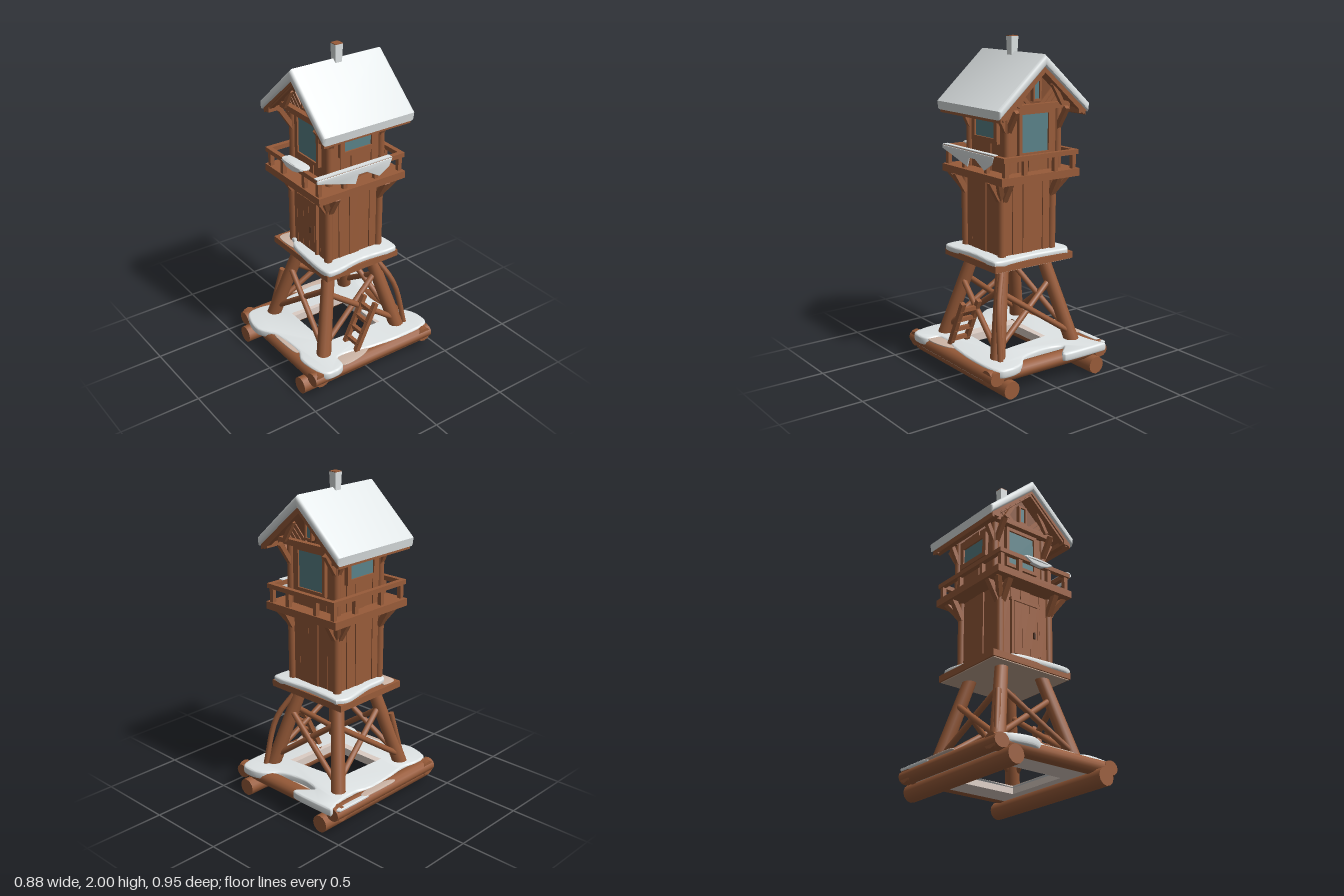
import * as THREE from 'three';
import { toCreasedNormals } from 'three/addons/utils/BufferGeometryUtils.js';

const mat = (name, color) => {
  const m = new THREE.MeshStandardMaterial({ color });
  m.name = name;
  return m;
};
const wood = mat('wood', 0x985b39);
const darkWood = mat('darkWood', 0x834e30);
const groove = mat('groove', 0x543321);
const snow = mat('snow', 0xdfe4e5);
const glass = mat('glass', 0x598188);
const weathered = mat('weatheredUnderside', 0xc4a793);
const frost = mat('thinFrost', 0xcfb7a8);
const paleFrost = mat('paleFrost', 0xdccdc4);

const V = (x, y, z) => new THREE.Vector3(x, y, z);

function add(parent, name, geo, material, x = 0, y = 0, z = 0) {
  const m = new THREE.Mesh(geo, material);
  m.name = name;
  m.position.set(x, y, z);
  parent.add(m);
  return m;
}
function box(parent, name, w, h, d, x, y, z, material = wood) {
  return add(parent, name, new THREE.BoxGeometry(w, h, d), material, x, y, z);
}
// Lays a mesh along a line from a to b
function align(m, a, b) {
  m.position.copy(a).add(b).multiplyScalar(0.5);
  m.quaternion.setFromUnitVectors(V(0, 1, 0), b.clone().sub(a).normalize());
  return m;
}
// Round log between two points
function log(parent, name, a, b, r0, r1 = r0) {
  const geo = new THREE.CylinderGeometry(r1, r0, a.distanceTo(b), 12);
  return align(add(parent, name, geo, wood), a, b);
}
// Square beam between two points
function beam(parent, name, a, b, t) {
  return align(box(parent, name, t, a.distanceTo(b), t, 0, 0, 0), a, b);
}
function group(parent, name, x = 0, y = 0, z = 0) {
  const g = new THREE.Group();
  g.name = name;
  g.position.set(x, y, z);
  parent.add(g);
  return g;
}
// Runs a builder for front, right, back and left
function fourSides(parent, name, build) {
  for (let k = 0; k < 4; k++) {
    const g = group(parent, name);
    g.rotation.y = k * Math.PI / 2;
    build(g, k);
  }
}
function extrude(shape, depth, bevel) {
  return toCreasedNormals(new THREE.ExtrudeGeometry(shape, {
    depth, bevelEnabled: bevel > 0, bevelSize: bevel, bevelThickness: bevel, bevelSegments: 3, curveSegments: 5,
  }), 0.7);
}
// Soft flat snow patch from an outline of [x, z] points
function snowPatch(parent, name, pts, y, h, hole, bevel = 0.012, material = snow) {
  const p = pts.map(([x, z]) => new THREE.Vector2(x, -z));
  const s = new THREE.Shape();
  s.moveTo(p[0].x, p[0].y);
  s.splineThru([...p.slice(1), p[0]]);
  if (hole) {
    s.holes.push(new THREE.Path([[-hole, -hole], [-hole * 0.9, hole * 0.8], [hole, hole], [hole * 0.9, -hole]]
      .map(([x, z]) => new THREE.Vector2(x, z))));
  }
  const geo = extrude(s, h, bevel);
  geo.rotateX(-Math.PI / 2);
  return add(parent, name, geo, material, 0, y, 0);
}
// Two roof slopes as one folded slab along z
function chevron(half, top, slope, t, halfDepth, bevel) {
  const e = top - slope * half;
  const s = new THREE.Shape([[-half, e], [-half, e - t], [0, top - t], [half, e - t], [half, e], [0, top]]
    .map(([x, y]) => new THREE.Vector2(x, y)));
  const geo = extrude(s, 2 * (halfDepth - bevel), bevel);
  geo.translate(0, 0, -(halfDepth - bevel));
  return geo;
}
// Vertical planks with uneven faces over a dark core
function plankWall(g, name, n, half, y0, y1) {
  const w = 2 * half / n;
  for (let i = 0; i < n; i++) {
    const bump = 0.003 * ((i * 7) % 3);
    const p = box(g, name, w - 0.003, y1 - y0, 0.02, -half + w * (i + 0.5), (y0 + y1) / 2, half - 0.006 + bump);
    p.rotation.z = 0.005 * (((i * 5) % 3) - 1);
  }
}
function frame(g, name, w, h, y, z, t) {
  for (const s of [-1, 1]) {
    box(g, name, t, h + 2 * t, 0.03, s * (w + t) / 2, y, z);
    box(g, name, w, t, 0.03, 0, y + s * (h + t) / 2, z);
  }
}

export function createModel() {
  const tower = new THREE.Group();
  tower.name = 'watchtower';

  // Sled base: skids, log frame, snow ring
  const base = group(tower, 'base');
  for (const x of [-0.325, 0.305]) log(base, 'skid', V(x, 0.054, -0.475), V(x, 0.054, 0.475), 0.053);
  for (const s of [-1, 1]) {
    const side = log(base, 'sideLog', V(s * 0.385 - 0.005, 0.125, -0.44), V(s * 0.385 - 0.005, 0.125, 0.44), 0.042);
    const cross = log(base, 'crossLog', V(-0.43, 0.125, s * 0.39), V(0.42, 0.125, s * 0.39), 0.045);
    side.scale.x = 1.15;
    cross.scale.z = 1.1;
  }
  const square = (h) => [[-h, -h], [h, -h], [h, h], [-h, h]].map(([x, z]) => new THREE.Vector2(x, z));
  const ring = new THREE.Shape(square(0.405));
  ring.holes.push(new THREE.Path(square(0.21)));
  const deckGeo = extrude(ring, 0.05, 0);
  deckGeo.rotateX(-Math.PI / 2);
  add(base, 'snowUnderside', deckGeo, paleFrost, 0, 0.088, 0);
  snowPatch(base, 'baseSnow', [
    [-0.39, -0.455], [-0.13, -0.455], [-0.11, -0.43], [-0.18, -0.35], [-0.05, -0.31], [0.12, -0.34], [0.21, -0.42],
    [0.3, -0.445], [0.37, -0.41], [0.38, -0.2], [0.36, 0], [0.33, 0.12], [0.33, 0.23], [0.41, 0.25], [0.43, 0.32],
    [0.4, 0.38], [0.24, 0.405], [0.14, 0.37], [-0.07, 0.39], [-0.2, 0.455], [-0.35, 0.42], [-0.37, 0.33],
    [-0.35, 0.22], [-0.37, 0.08], [-0.38, -0.1], [-0.35, -0.22], [-0.36, -0.36]], 0.137, 0.028, 0.2);
  snowPatch(base, 'rightFrost', [[0.32, 0.04], [0.37, 0.02], [0.41, 0.12], [0.41, 0.24], [0.32, 0.25]], 0.164, 0.004, 0, 0.002, frost);
  snowPatch(base, 'leftFrost', [[-0.435, -0.2], [-0.4, -0.2], [-0.385, -0.1], [-0.4, 0.03], [-0.435, 0.05]], 0.162, 0.004, 0, 0.002, frost);
  snowPatch(base, 'leftSnowStrip', [[-0.435, -0.42], [-0.415, -0.42], [-0.41, -0.3], [-0.415, -0.19], [-0.435, -0.19]], 0.157, 0.006, 0, 0.004);
  snowPatch(base, 'frontFrost', [[-0.08, 0.385], [0.14, 0.375], [0.13, 0.405], [-0.06, 0.41]], 0.164, 0.005, 0, 0.002, frost);

  // Splayed legs with crossed braces
  const legs = group(tower, 'legs', -0.012, 0, -0.003);
  const legAt = (sx, sz, y) => {
    const r = 0.28 - (y - 0.16) * 0.25;
    return V(sx * r, y, sz * r);
  };
  fourSides(legs, 'legSide', (g) => {
    log(g, 'leg', legAt(-1, 1, 0.13), legAt(-1, 1, 0.69), 0.045, 0.039);
    log(g, 'brace', legAt(-1, 1, 0.22), legAt(1, 1, 0.55), 0.018);
    const other = log(g, 'brace', legAt(-1, 1, 0.53), legAt(1, 1, 0.22), 0.018);
    other.position.z += 0.015;
  });
  const bentStrut = new THREE.CatmullRomCurve3([V(0.17, 0.66, -0.17), V(0.26, 0.47, -0.265), V(0.295, 0.16, -0.33)]);
  add(legs, 'bentStrut', new THREE.TubeGeometry(bentStrut, 10, 0.017, 8), wood);
  log(legs, 'shortStrut', V(-0.238, 0.5, 0.232), V(-0.295, 0.16, 0.29), 0.018);

  // Ladder leaning toward the back
  const ladder = group(tower, 'ladder');
  const railAt = (x, t) => V(x, 0.15 + 0.31 * t, 0.1 - 0.15 * t);
  for (const x of [0.235, 0.347]) beam(ladder, 'ladderRail', railAt(x, 0), railAt(x, 1), 0.028);
  for (const t of [0.18, 0.4, 0.62, 0.84]) beam(ladder, 'rung', railAt(0.225, t), railAt(0.355, t), 0.024);

  // Lower platform
  const platform = group(tower, 'platform', -0.014, 0, -0.01);
  box(platform, 'platformFloor', 0.57, 0.04, 0.52, 0, 0.702, 0);
  box(platform, 'platformUnderside', 0.55, 0.006, 0.5, 0, 0.68, 0, weathered);
  snowPatch(platform, 'platformSnow', [
    [-0.24, -0.25], [0, -0.235], [0.24, -0.25], [0.275, -0.2], [0.26, 0], [0.285, 0.2], [0.25, 0.255], [0.05, 0.25],
    [-0.08, 0.235], [-0.14, 0.2], [-0.22, 0.17], [-0.23, 0.02], [-0.27, -0.18]], 0.722, 0.016, 0, 0.011);
  snowPatch(platform, 'platformFrost', [[-0.26, 0.14], [-0.1, 0.19], [-0.09, 0.24], [-0.25, 0.24]], 0.721, 0.004, 0, 0.002, frost);

  // Lower room with planked walls
  const room = group(tower, 'lowerRoom', -0.012, 0, -0.01);
  box(room, 'lowerCore', 0.36, 0.48, 0.36, 0, 0.96, 0, groove);
  fourSides(room, 'lowerWall', (g) => {
    plankWall(g, 'lowerPlank', 5, 0.183, 0.73, 1.19);
    log(g, 'cornerPost', V(-0.182, 0.73, 0.182), V(-0.184, 1.19, 0.184), 0.025);
    for (const s of [-1, 1]) {
      beam(g, 'galleryBracket', V(s * 0.175, 1.08, 0.19), V(s * 0.175, 1.2, 0.26), 0.034);
    }
    beam(g, 'cornerBracket', V(-0.18, 1.08, 0.18), V(-0.25, 1.2, 0.25), 0.03);
  });
  // Door
  box(room, 'door', 0.18, 0.34, 0.02, -0.008, 0.93, 0.191, darkWood);
  for (const s of [-1, 0, 1]) box(room, 'doorPlank', 0.058, 0.33, 0.008, -0.008 + s * 0.059, 0.93, 0.203);
  for (const s of [-1, 1]) box(room, 'doorFrame', 0.014, 0.36, 0.03, -0.008 + s * 0.097, 0.935, 0.192);
  box(room, 'doorLintel', 0.22, 0.018, 0.03, -0.008, 1.11, 0.192);
  box(room, 'doorHandle', 0.01, 0.04, 0.014, 0.05, 0.91, 0.212, groove);

  // Gallery with railing
  const gallery = group(tower, 'gallery', -0.022, 0, -0.012);
  box(gallery, 'galleryFloor', 0.56, 0.045, 0.61, 0, 1.214, 0);
  fourSides(gallery, 'railing', (g, k) => {
    const out = k % 2 ? 0.253 : 0.293;
    const len = k % 2 ? 0.293 : 0.253;
    box(g, 'handrail', 2 * len + 0.028, 0.028, 0.03, 0, 1.336, out);
    for (const x of [-len + 0.01, -0.11, 0.11]) box(g, 'railPost', 0.026, 0.1, 0.026, x, 1.28, out - 0.008);
  });
  // Snow hanging on the rails
  const droop = (pts, depth, bevel) => extrude(new THREE.Shape(pts.map(([x, y]) => new THREE.Vector2(x, y))), depth, bevel);
  const sideSnow = add(gallery, 'sideRailSnow', droop([[-0.31, 1.33], [-0.2, 1.3], [-0.05, 1.256], [-0.03, 1.31],
    [0.03, 1.31], [0.12, 1.258], [0.19, 1.3], [0.21, 1.344], [-0.31, 1.344]], 0.004, 0.002), snow, 0.268, 0, 0);
  sideSnow.rotation.y = Math.PI / 2;
  box(gallery, 'sideRailSnowTop', 0.03, 0.006, 0.52, 0.255, 1.352, 0.05, snow);
  add(gallery, 'frontRailSnow', droop([[-0.08, 1.345], [-0.03, 1.322], [0.03, 1.318], [0.08, 1.33], [0.12, 1.35],
    [0.05, 1.356], [-0.06, 1.354]], 0.018, 0.004), snow, 0, 0, 0.296);
  snowPatch(gallery, 'frontRailSnowTop', [[-0.08, 0.26], [0.1, 0.25], [0.11, 0.31], [-0.07, 0.315]], 1.347, 0.006, 0, 0.004);

  // Lookout cabin
  const cabin = group(tower, 'lookout', -0.032, 0, -0.033);
  box(cabin, 'cabinCore', 0.36, 0.38, 0.36, 0, 1.42, 0, groove);
  fourSides(cabin, 'cabinWall', (g, k) => {
    plankWall(g, 'cabinPlank', 5, 0.183, 1.235, 1.61);
    log(g, 'cabinPost', V(-0.182, 1.235, 0.182), V(-0.182, 1.61, 0.182), 0.023);
    const [h, y, t] = k % 2 ? [0.1, 1.48, 0.03] : [0.22, 1.46, 0.022];
    box(g, 'windowPane', 0.19, h, 0.009, 0, y, 0.197, glass);
    frame(g, 'windowFrame', 0.19, h, y, 0.197, t);
    for (const s of [-1, 1]) {
      beam(g, 'roofBracket', V(s * 0.18, 1.47, 0.185), V(s * 0.18, 1.6, k % 2 ? 0.25 : 0.27), 0.028);
    }
  });

  // Gables with trim
  for (const s of [1, -1]) {
    const g = group(cabin, 'gable');
    g.rotation.y = s > 0 ? 0 : Math.PI;
    const tri = new THREE.Shape([new THREE.Vector2(-0.25, 1.6), new THREE.Vector2(0.25, 1.6), new THREE.Vector2(0, 1.83)]);
    add(g, 'gableWall', extrude(tri, 0.03, 0), darkWood, 0, 0, 0.17);
    box(g, 'tieBeam', 0.45, 0.035, 0.035, 0, 1.612, 0.225);
    box(g, 'gablePane', 0.036, 0.1, 0.008, 0, 1.705, 0.21, glass);
    frame(g, 'gableFrame', 0.036, 0.1, 1.705, 0.21, 0.012);
    // Slanted planks rising outward to the roof line
    for (const m of [-1, 1]) {
      for (let i = 0; i < 5; i++) {
        const x = 0.04 + i * 0.04;
        const run = (0.225 - x) * 0.47;
        beam(g, 'gablePlank', V(m * x, 1.62, 0.196), V(m * (x + run), 1.62 + run, 0.196), 0.023);
      }
      beam(g, 'gableStrut', V(m * 0.16, 1.62, 0.25), V(m * 0.09, 1.74, 0.25), 0.024);
      beam(g, 'bargeBoard', V(m * 0.295, 1.565, 0.28), V(0, 1.83, 0.28), 0.032);
    }
  }

  // Roof, eaves, snow cover and chimney
  const roof = group(tower, 'roof', -0.027, 0, -0.028);
  add(roof, 'roofBoards', chevron(0.305, 1.855, 0.9, 0.032, 0.3, 0), wood);
  for (const s of [-1, 1]) box(roof, 'eavesBeam', 0.032, 0.03, 0.6, s * 0.27, 1.578, 0);
  add(roof, 'roofSnow', chevron(0.306, 1.884, 0.9, 0.016, 0.317, 0.02), snow);
  const chimney = new THREE.CylinderGeometry(0.036, 0.027, 0.165, 4, 1).toNonIndexed();
  chimney.rotateY(Math.PI / 4);
  chimney.computeVertexNormals();
  add(roof, 'chimney', chimney, snow, 0.002, 1.913, 0);
  box(roof, 'chimneyTop', 0.049, 0.006, 0.049, 0.002, 1.997, 0);

  return tower;
}
